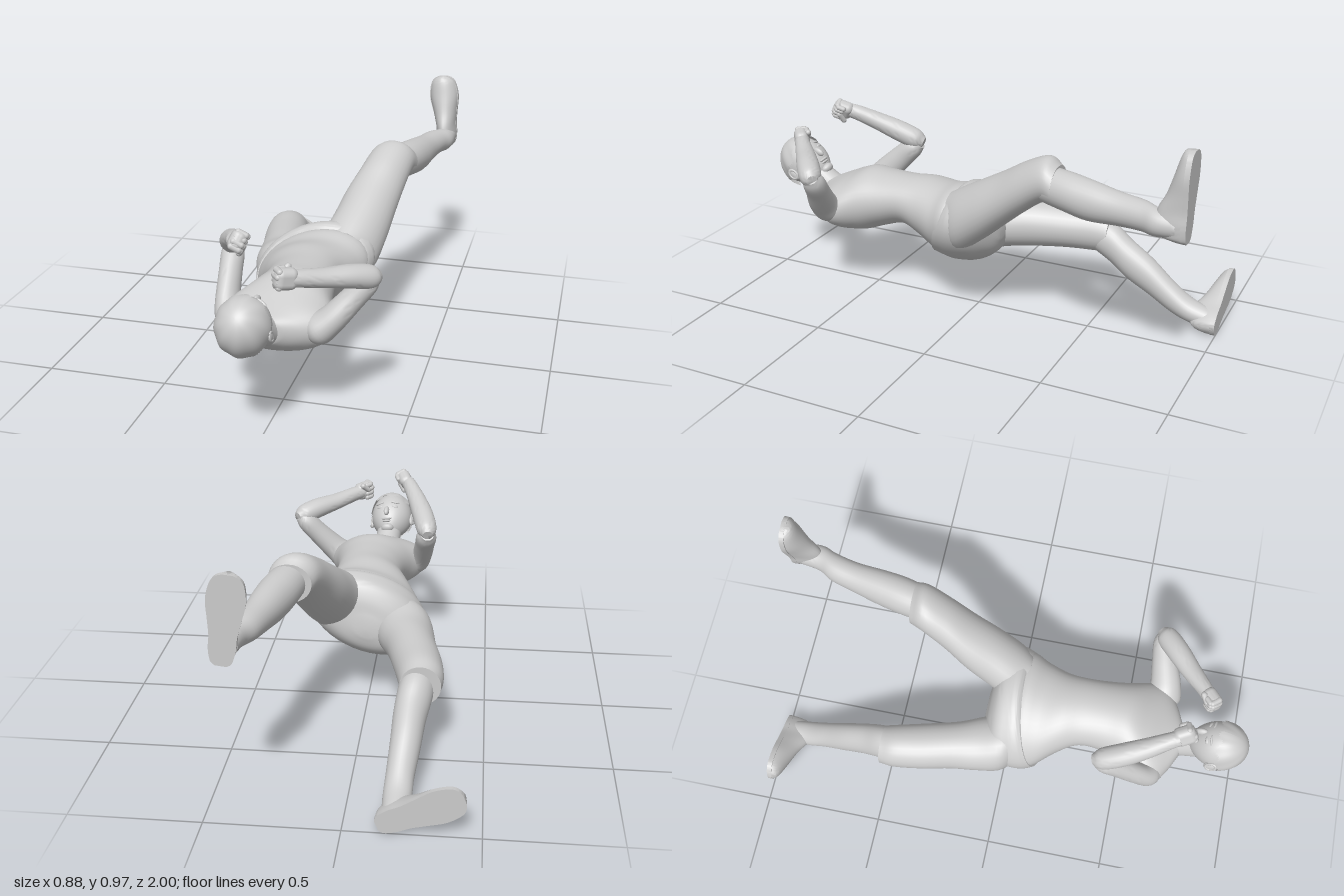
import * as THREE from 'three';
import { toCreasedNormals } from 'three/addons/utils/BufferGeometryUtils.js';
import { RoundedBoxGeometry } from 'three/addons/geometries/RoundedBoxGeometry.js';

const V = (x, y, z) => new THREE.Vector3(x, y, z);
const material = new THREE.MeshStandardMaterial({ color: 0xcccccc, side: THREE.DoubleSide });

function add(parent, name, geometry, position = [0, 0, 0], scale = [1, 1, 1], rotation = [0, 0, 0]) {
  const mesh = new THREE.Mesh(geometry, material);
  mesh.name = name;
  mesh.position.set(...position);
  mesh.scale.set(...scale);
  mesh.rotation.set(...rotation);
  parent.add(mesh);
}

function addGroup(parent, name) {
  const group = new THREE.Group();
  group.name = name;
  parent.add(group);
  return group;
}

// Smooth skin through elliptical sections [x, y, z, radiusA, radiusB, roll].
// axis fixes the section plane, up is the direction of radiusB,
// shear slants the sections from the first value to the second.
function loft(rows, { axis, up = V(0, 1, 0), shear = [0, 0], min = -9, max = 9, steps = 5, sides = 28 } = {}) {
  const path = new THREE.CatmullRomCurve3(rows.map(r => V(r[0], r[1], r[2])), false, 'catmullrom');
  const size = new THREE.CatmullRomCurve3(rows.map(r => V(r[3], r[4], r[5] || 0)), false, 'catmullrom');
  const count = (rows.length - 1) * steps;
  const pos = [], index = [];
  for (let i = 0; i <= count; i++) {
    const c = path.getPoint(i / count), s = size.getPoint(i / count);
    const t = axis || path.getTangent(i / count);
    const n = up.clone().cross(t).normalize(), b = t.clone().cross(n);
    const slant = THREE.MathUtils.lerp(shear[0], shear[1], i / count);
    for (let j = 0; j < sides; j++) {
      const a = j / sides * Math.PI * 2, p = s.x * Math.cos(a), q = s.y * Math.sin(a);
      const u = p * Math.cos(s.z) - q * Math.sin(s.z);
      const w = THREE.MathUtils.clamp(p * Math.sin(s.z) + q * Math.cos(s.z), min, max);
      const v = c.clone().addScaledVector(n, u).addScaledVector(b, w).addScaledVector(t, slant * w);
      pos.push(v.x, v.y, v.z);
      if (i < count) {
        const k = i * sides + j, l = i * sides + (j + 1) % sides;
        index.push(k, l, l + sides, k, l + sides, k + sides);
      }
    }
  }
  // end caps
  for (const [i, flip] of [[0, true], [count, false]]) {
    const c = path.getPoint(i / count), m = pos.length / 3;
    pos.push(c.x, c.y, c.z);
    for (let j = 0; j < sides; j++) {
      const k = i * sides + j, l = i * sides + (j + 1) % sides;
      index.push(m, flip ? l : k, flip ? k : l);
    }
  }
  const g = new THREE.BufferGeometry();
  g.setAttribute('position', new THREE.Float32BufferAttribute(pos, 3));
  g.setIndex(index);
  return toCreasedNormals(g, 0.9);
}

// Shoe with its sole on the plane z = -1
function shoe(parent, heel, dir) {
  const shape = [[0, 0.02, 0.06], [0.015, 0.036, 0.1], [0.06, 0.046, 0.125], [0.11, 0.047, 0.12],
    [0.17, 0.056, 0.092], [0.24, 0.066, 0.07], [0.3, 0.057, 0.054], [0.325, 0.04, 0.044], [0.335, 0.018, 0.036]];
  const t = V(dir[0], dir[1], 0).normalize();
  const rows = (w, h) => shape.map(([u, a, b]) => [heel[0] + t.x * u, heel[1] + t.y * u, -1, a * w, h || b]);
  const foot = addGroup(parent, 'shoe');
  add(foot, 'shoeUpper', loft(rows(1), { axis: t, up: V(0, 0, 1), min: 0 }));
  add(foot, 'sole', loft(rows(1.03, 0.1), { axis: t, up: V(0, 0, 1), min: 0, max: 0.02 }));
}

// Closed hand: y points along the forearm, x across the knuckles, fingers curl on +z
function fist(parent, at, dir, across) {
  const y = V(...dir).normalize(), z = V(...across).cross(y).normalize(), x = y.clone().cross(z);
  const hand = addGroup(parent, 'fist');
  hand.quaternion.setFromRotationMatrix(new THREE.Matrix4().makeBasis(x, y, z));
  hand.position.set(...at);
  add(hand, 'palm', new RoundedBoxGeometry(0.08, 0.088, 0.058, 4, 0.026), [0, -0.004, 0]);
  for (let i = 0; i < 4; i++) {
    const fx = -0.029 + i * 0.0193, drop = 0.004 * Math.abs(i - 1);
    add(hand, 'knuckle', new THREE.CapsuleGeometry(0.0125, 0.03, 4, 10), [fx, 0.03 - drop, 0.004], [1, 1, 1], [Math.PI / 2, 0, 0]);
    add(hand, 'finger', new THREE.CapsuleGeometry(0.0115, 0.022, 4, 10), [fx, 0.013 - drop, 0.026]);
  }
  add(hand, 'thumb', new THREE.CapsuleGeometry(0.0125, 0.036, 4, 10), [-0.022, -0.01, 0.029], [1, 1, 1], [0, 0, -0.8]);
}

function buildHead(parent) {
  const head = addGroup(parent, 'head');
  head.quaternion.setFromRotationMatrix(new THREE.Matrix4().makeBasis(V(-1, 0, 0), V(0, 0.6, 0.8), V(0, 0.8, -0.6)));
  head.rotateY(-0.2);
  head.position.set(-0.027, 0.497, 0.875);

  // skull narrows to the chin and tucks in at the nape
  const skull = new THREE.SphereGeometry(1, 36, 28), p = skull.attributes.position;
  for (let i = 0; i < p.count; i++) {
    const x = p.getX(i), y = p.getY(i), z = p.getZ(i), low = Math.max(0, -y);
    const nape = z < 0 ? 1 - 0.35 * low : 1 - 0.05 * low;
    p.setXYZ(i, x * 0.096 * (1 - 0.28 * low * low), y * 0.122, z * 0.104 * nape + low * low * 0.018);
  }
  skull.computeVertexNormals();
  add(head, 'skull', skull);

  // hair: locks around a cap, short at the brow and long at the nape
  const hair = new THREE.SphereGeometry(1, 72, 20), h = hair.attributes.position, uv = hair.attributes.uv;
  for (let i = 0; i < h.count; i++) {
    const phi = uv.getX(i) * Math.PI * 2, f = 1 - uv.getY(i);
    const theta = f * (1.5 - 0.45 * Math.cos(phi) + 0.09 * Math.sin(phi * 9));
    const lump = 1 + 0.02 * Math.sin(phi * 9 + theta * 2) * Math.sin(theta);
    const side = Math.sin(theta) * lump;
    h.setXYZ(i, side * Math.sin(phi) * 0.103, Math.cos(theta) * 0.128, side * Math.cos(phi) * 0.114);
  }
  hair.computeVertexNormals();
  add(head, 'hair', hair);

  const ball = new THREE.SphereGeometry(1, 16, 12);
  add(head, 'nose', ball, [0, -0.025, 0.104], [0.013, 0.027, 0.017], [-0.3, 0, 0]);
  add(head, 'upperLip', ball, [0, -0.063, 0.094], [0.025, 0.006, 0.008]);
  add(head, 'lowerLip', ball, [0, -0.073, 0.089], [0.021, 0.006, 0.008]);
  add(head, 'chin', ball, [0, -0.098, 0.066], [0.03, 0.02, 0.026]);
  for (const s of [-1, 1]) {
    add(head, 'eye', ball, [s * 0.036, 0.003, 0.092], [0.017, 0.008, 0.008], [0, s * 0.35, 0]);
    add(head, 'eyebrow', ball, [s * 0.037, 0.024, 0.093], [0.022, 0.005, 0.007], [0, s * 0.35, s * -0.1]);
    add(head, 'ear', ball, [s * 0.097, -0.015, -0.005], [0.01, 0.03, 0.019], [0, s * -0.3, 0]);
    add(head, 'earRim', new THREE.TorusGeometry(0.016, 0.005, 8, 18), [s * 0.102, -0.012, -0.006], [1, 1.4, 1], [0, Math.PI / 2 - s * 0.3, 0]);
  }
}

export function createModel() {
  const figure = new THREE.Group();
  figure.name = 'recliningFigure';
  const alongZ = V(0, 0, 1), backZ = V(0, 0, -1);

  // torso, hips to shoulders, twisting along its length
  add(figure, 'torso', loft([
    [0.01, 0.38, -0.04, 0.18, 0.12, 0.4], [0.01, 0.38, 0.05, 0.242, 0.16, 0.4], [0.0, 0.378, 0.13, 0.222, 0.155, 0.37],
    [0.01, 0.415, 0.22, 0.172, 0.133, 0.28], [0.025, 0.44, 0.31, 0.143, 0.108, 0.2], [0.03, 0.43, 0.41, 0.148, 0.121, 0.12],
    [0.025, 0.414, 0.5, 0.172, 0.139, 0.06], [0.01, 0.395, 0.58, 0.215, 0.125, 0], [0.004, 0.39, 0.64, 0.217, 0.102, 0],
    [-0.002, 0.395, 0.69, 0.15, 0.075, 0], [-0.01, 0.405, 0.73, 0.065, 0.05, 0]], { axis: alongZ, sides: 40 }));
  add(figure, 'neck', loft([[-0.005, 0.385, 0.65, 0.08, 0.07], [-0.01, 0.405, 0.71, 0.063, 0.06],
    [-0.018, 0.44, 0.78, 0.057, 0.06], [-0.022, 0.475, 0.84, 0.06, 0.06]]));
  buildHead(figure);

  // shorts: slanted seat rounded at the crotch, then one leg each
  const shorts = addGroup(figure, 'shorts');
  add(shorts, 'seat', loft([[0.0, 0.365, -0.1, 0.05, 0.04, 0.4], [0.002, 0.37, -0.08, 0.165, 0.105, 0.4],
    [0.005, 0.378, -0.035, 0.238, 0.155, 0.4], [0.01, 0.384, 0.03, 0.258, 0.172, 0.4],
    [0.006, 0.388, 0.075, 0.25, 0.17, 0.39], [0.005, 0.388, 0.105, 0.235, 0.162, 0.38]], { axis: alongZ, shear: [0.1, -0.36], sides: 40 }));
  const legs = [
    { side: 'left', short: [[0.13, 0.44, 0.06, 0.09, 0.11], [0.14, 0.45, 0, 0.122, 0.137], [0.165, 0.515, -0.1, 0.12, 0.13],
      [0.185, 0.587, -0.2, 0.114, 0.116], [0.213, 0.662, -0.3, 0.103, 0.104], [0.238, 0.722, -0.4, 0.096, 0.089], [0.257, 0.708, -0.455, 0.087, 0.078]],
    calf: [[0.25, 0.71, -0.38, 0.07, 0.07], [0.28, 0.702, -0.5, 0.077, 0.076], [0.303, 0.692, -0.6, 0.072, 0.077],
      [0.328, 0.69, -0.72, 0.061, 0.063], [0.355, 0.692, -0.82, 0.058, 0.056], [0.385, 0.69, -0.88, 0.052, 0.052], [0.393, 0.69, -0.96, 0.045, 0.045]],
    heel: [0.4, 0.635], toe: [-0.12, 0.993] },
    { side: 'right', short: [[-0.12, 0.34, 0.06, 0.09, 0.11], [-0.14, 0.337, 0, 0.122, 0.125], [-0.165, 0.335, -0.1, 0.117, 0.106],
      [-0.193, 0.336, -0.2, 0.102, 0.1], [-0.224, 0.336, -0.33, 0.098, 0.094], [-0.244, 0.333, -0.44, 0.091, 0.092], [-0.247, 0.325, -0.505, 0.08, 0.082]],
    calf: [[-0.24, 0.33, -0.42, 0.07, 0.07], [-0.227, 0.292, -0.52, 0.068, 0.085], [-0.213, 0.238, -0.6, 0.063, 0.085],
      [-0.205, 0.18, -0.7, 0.058, 0.078], [-0.194, 0.113, -0.8, 0.053, 0.064], [-0.19, 0.072, -0.88, 0.053, 0.05], [-0.185, 0.055, -0.96, 0.045, 0.04]],
    heel: [-0.125, 0.028], toe: [-0.923, 0.385] }];
  for (const leg of legs) {
    add(shorts, leg.side + 'ShortsLeg', loft(leg.short, { axis: backZ }));
    const lower = addGroup(figure, leg.side + 'LowerLeg');
    add(lower, 'calf', loft(leg.calf, { axis: backZ }));
    shoe(lower, leg.heel, leg.toe);
  }

  // arms: bent at the elbow, fists raised by the head
  const arms = [
    { side: 'left', upper: [[0.13, 0.365, 0.63, 0.02, 0.02], [0.17, 0.39, 0.63, 0.06, 0.07], [0.225, 0.437, 0.625, 0.054, 0.064],
      [0.295, 0.515, 0.6, 0.047, 0.052], [0.345, 0.575, 0.585, 0.044, 0.046], [0.37, 0.605, 0.58, 0.03, 0.03]],
    fore: [[0.385, 0.6, 0.565, 0.022, 0.022], [0.36, 0.605, 0.59, 0.044, 0.044], [0.3, 0.622, 0.64, 0.047, 0.044],
      [0.22, 0.635, 0.705, 0.041, 0.036], [0.15, 0.65, 0.765, 0.033, 0.033], [0.11, 0.657, 0.795, 0.031, 0.031]],
    hand: [0.1, 0.66, 0.807], across: [0, -1, 0] },
    { side: 'right', upper: [[-0.13, 0.36, 0.63, 0.02, 0.02], [-0.165, 0.39, 0.61, 0.056, 0.065], [-0.192, 0.44, 0.57, 0.046, 0.06],
      [-0.207, 0.52, 0.49, 0.044, 0.052], [-0.216, 0.575, 0.43, 0.045, 0.045], [-0.222, 0.6, 0.4, 0.03, 0.03]],
    fore: [[-0.224, 0.602, 0.38, 0.022, 0.022], [-0.218, 0.615, 0.415, 0.043, 0.043], [-0.198, 0.65, 0.49, 0.047, 0.045],
      [-0.165, 0.693, 0.58, 0.041, 0.038], [-0.13, 0.73, 0.66, 0.033, 0.033], [-0.115, 0.74, 0.695, 0.031, 0.031]],
    hand: [-0.1, 0.748, 0.718], across: [0.3, 0.75, -0.6] }];
  for (const a of arms) {
    const arm = addGroup(figure, a.side + 'Arm');
    add(arm, 'upperArm', loft(a.upper, { up: V(0, 0, 1) }));
    add(arm, 'forearm', loft(a.fore));
    fist(arm, a.hand, a.hand.map((v, k) => v - a.fore[2][k]), a.across);
  }
  return figure;
}
